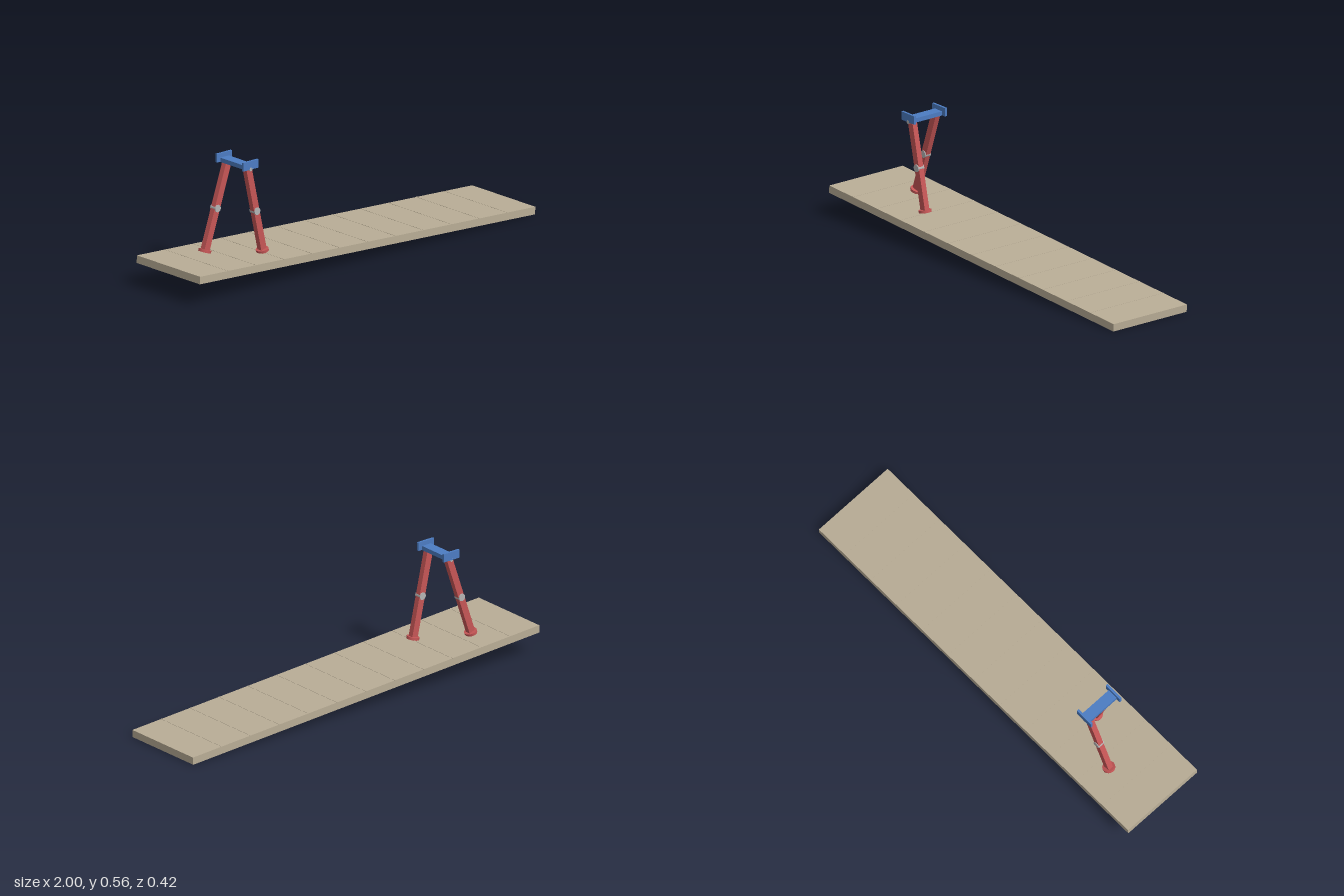
import * as THREE from 'three';

const mat = (name, color) => Object.assign(new THREE.MeshStandardMaterial({ color }), { name });

export function createModel() {
  const model = new THREE.Group();
  model.name = 'rampWalker';
  const wood = mat('rampTan', 0xb9ad96);
  const red = mat('legRed', 0xc65656);
  const blue = mat('hipBlue', 0x4c7cc2);
  const steel = mat('jointGrey', 0xb4b4b4);

  const add = (parent, name, geometry, material, x = 0, y = 0, z = 0) => {
    const mesh = new THREE.Mesh(geometry, material);
    mesh.name = name;
    mesh.position.set(x, y, z);
    parent.add(mesh);
    return mesh;
  };

  // Sloping ramp with fine, nearly flush cross seams
  const ramp = new THREE.Group();
  ramp.name = 'ramp';
  ramp.position.y = 0.07;
  ramp.rotation.z = -THREE.MathUtils.degToRad(3);
  model.add(ramp);
  const length = 2.001, thick = 0.035, seams = 11;
  add(ramp, 'rampDeck', new THREE.BoxGeometry(length, thick, 0.418), wood);
  for (let i = 1; i <= seams; i++) {
    const x = -length / 2 + (i * length) / (seams + 1);
    add(ramp, 'rampSeam', new THREE.BoxGeometry(0.004, 0.001, 0.418), wood, x, thick / 2 + 0.0005);
  }

  // Hip: crossbar, two end plates and the axle below
  const hip = new THREE.Group();
  hip.name = 'hip';
  hip.position.set(-0.59, 0.524, 0);
  model.add(hip);
  add(hip, 'hipBar', new THREE.BoxGeometry(0.05, 0.02, 0.166), blue, 0, 0.008);
  for (const side of [1, -1]) {
    add(hip, 'hipPlate', new THREE.BoxGeometry(0.09, 0.039, 0.011), blue, 0, 0.0185, side * 0.0875);
  }
  add(hip, 'hipAxle', new THREE.CylinderGeometry(0.009, 0.009, 0.186, 16), steel).rotation.x = Math.PI / 2;

  // Straight legs swung apart, each with a knee pin and a round foot
  const addLeg = (name, footX, footY, z) => {
    const dx = footX - hip.position.x, dy = footY - hip.position.y;
    const reach = Math.hypot(dx, dy);
    const leg = new THREE.Group();
    leg.name = name;
    leg.position.set(hip.position.x, hip.position.y, z);
    leg.rotation.z = Math.atan2(dx, -dy);
    model.add(leg);
    add(leg, 'legBar', new THREE.BoxGeometry(0.032, reach, 0.026), red, 0, -reach / 2);
    add(leg, 'kneePin', new THREE.CylinderGeometry(0.017, 0.017, 0.034, 16), steel, 0, -reach * 0.52)
      .rotation.x = Math.PI / 2;
    add(leg, 'foot', new THREE.CylinderGeometry(0.029, 0.029, 0.012, 16), red, 0, -reach);
  };
  addLeg('leadingLeg', -0.5, 0.125, 0.067);
  addLeg('trailingLeg', -0.722, 0.136, -0.066);

  return model;
}
